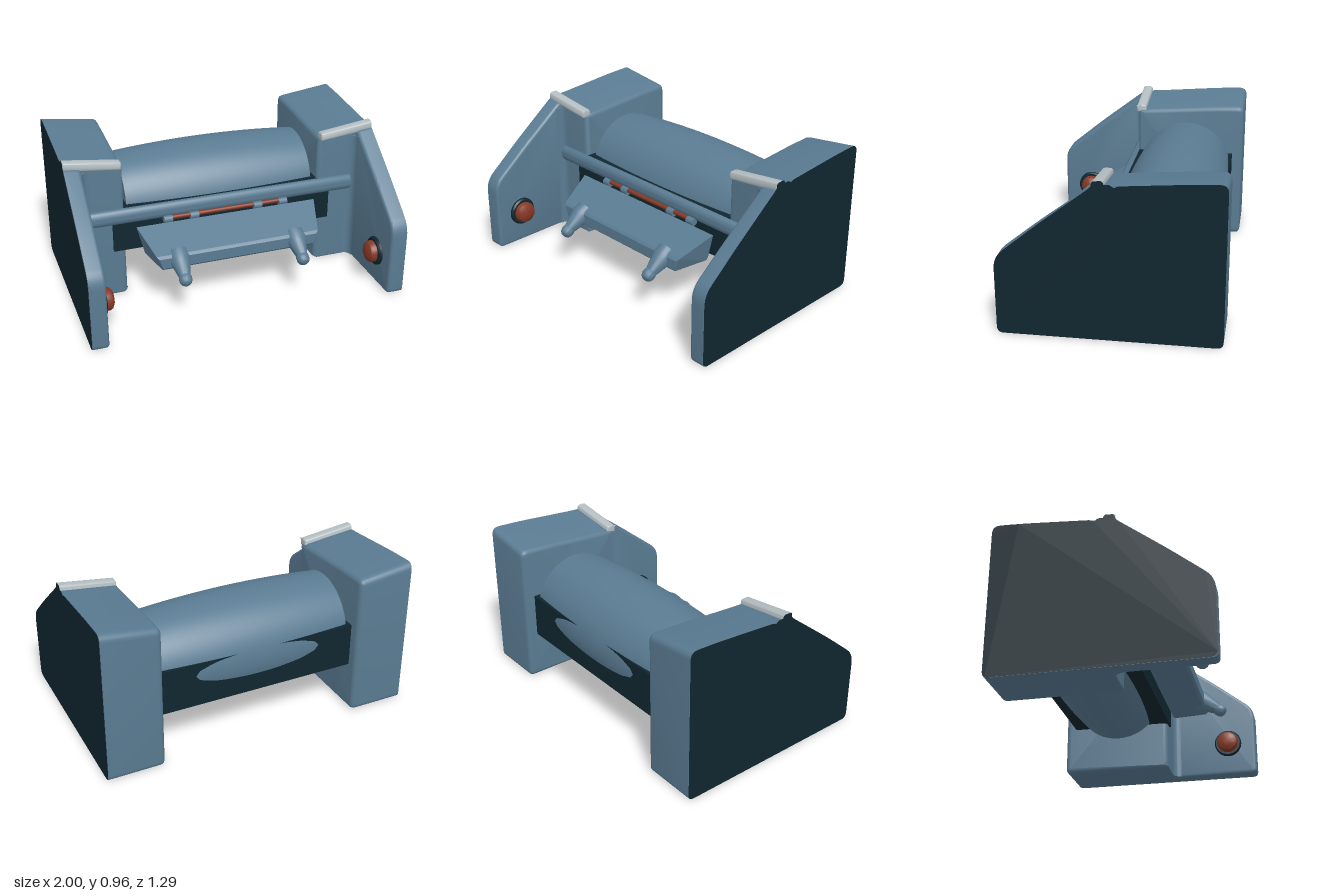
import * as THREE from 'three';
import { toCreasedNormals } from 'three/addons/utils/BufferGeometryUtils.js';
import { ConvexGeometry } from 'three/addons/geometries/ConvexGeometry.js';

const material = (name, color) => {
  const m = new THREE.MeshStandardMaterial({ color });
  m.name = name;
  return m;
};

// Polygon in (z, y) with rounded corners; each point is [z, y, radius]
function roundedShape(points) {
  const s = new THREE.Shape();
  const v = points.map(([z, y]) => new THREE.Vector2(-z, y));
  const n = v.length;
  v.forEach((p, i) => {
    const r = points[i][2] || 0;
    const toward = (q) => p.clone().add(q.clone().sub(p).setLength(r));
    const a = toward(v[(i + n - 1) % n]);
    const b = toward(v[(i + 1) % n]);
    if (i === 0) s.moveTo(a.x, a.y); else s.lineTo(a.x, a.y);
    if (r) s.quadraticCurveTo(p.x, p.y, b.x, b.y);
  });
  s.closePath();
  return s;
}

// The top falls gently towards the middle of the model
function slopeTop(geo) {
  const p = geo.attributes.position;
  for (let i = 0; i < p.count; i++) {
    const y = p.getY(i);
    if (y > 0.5) p.setY(i, y - (1 - p.getX(i)) * 0.126 * (y - 0.5) / 0.44);
  }
  return geo;
}

// Side slab from x0 to the outer face, with a rounded inner edge and square outer edge
function slab(points, x0, bevel, outer = 0.997) {
  const geo = new THREE.ExtrudeGeometry(roundedShape(points), {
    depth: outer - x0 - bevel, bevelEnabled: true, bevelThickness: bevel,
    bevelSize: bevel, bevelOffset: -bevel, bevelSegments: 4, curveSegments: 6,
  });
  geo.rotateY(Math.PI / 2).translate(x0 + bevel, 0, 0);
  const p = geo.attributes.position;
  for (let i = 0; i < p.count; i++) p.setX(i, Math.min(p.getX(i), outer));
  return toCreasedNormals(slopeTop(geo), 0.6);
}

// Reflected copy in x with corrected winding
function mirrored(source) {
  const geo = source.index ? source.toNonIndexed() : source.clone();
  for (const key of ['position', 'normal']) {
    const a = geo.attributes[key];
    const t = new THREE.Vector3(), u = new THREE.Vector3();
    for (let i = 0; i < a.count; i++) a.setX(i, -a.getX(i));
    for (let i = 0; i < a.count; i += 3) {
      t.fromBufferAttribute(a, i + 1);
      u.fromBufferAttribute(a, i + 2);
      a.setXYZ(i + 1, u.x, u.y, u.z);
      a.setXYZ(i + 2, t.x, t.y, t.z);
    }
  }
  return geo;
}

function lathe(profile, segments = 32) {
  const geo = new THREE.LatheGeometry(profile.map(([r, y]) => new THREE.Vector2(r, y)), segments);
  return toCreasedNormals(geo, 0.6);
}

export function createModel() {
  const model = new THREE.Group();
  model.name = 'model';
  const blue = material('steelBlue', 0x5a7b92);
  const dark = material('darkNavy', 0x10262f);
  const red = material('rustRed', 0x863826);
  const pale = material('paleGrey', 0xb4bec2);

  const add = (name, geo, mat) => {
    const mesh = new THREE.Mesh(geo, mat);
    mesh.name = name;
    model.add(mesh);
    return mesh;
  };
  const addPair = (name, geo, mat) => {
    add(name + 'Left', geo, mat);
    add(name + 'Right', mirrored(geo), mat);
  };

  // Side housings: deep rear block and thin front fin
  addPair('sideBlock', slab([
    [-0.645, 0, 0.035], [0.07, 0, 0.01], [0.07, 0.918, 0.015],
    [-0.05, 0.925, 0.02], [-0.45, 0.958, 0.05], [-0.645, 0.967, 0.05],
  ], 0.64, 0.03), blue);
  addPair('frontFin', slab([
    [0, 0], [0.645, 0, 0.035], [0.645, 0.47, 0.07],
    [0.39, 0.68, 0.08], [0.09, 0.91, 0.02], [0, 0.92],
  ], 0.895, 0.02), blue);

  // Concave fillet where fin meets block
  const corner = new THREE.Shape();
  corner.moveTo(0.91, -0.06);
  corner.lineTo(0.91, -0.12);
  corner.lineTo(0.895, -0.12);
  corner.quadraticCurveTo(0.893, -0.072, 0.845, -0.07);
  corner.lineTo(0.845, -0.06);
  const fillet = new THREE.ExtrudeGeometry(corner, { depth: 0.86, bevelEnabled: false });
  fillet.rotateX(-Math.PI / 2).translate(0, 0.005, 0);
  addPair('finFillet', toCreasedNormals(fillet, 0.8), blue);

  // Pale lip along the front top edge of each block
  addPair('topTrim', slab([
    [0.02, 0.9], [0.087, 0.895, 0.015], [0.087, 0.945, 0.012],
    [0.07, 0.952, 0.01], [0.025, 0.95, 0.015],
  ], 0.65, 0.01), pale);

  // Flat outer faces
  const outerFace = new THREE.ShapeGeometry(roundedShape([
    [-0.645, 0, 0.04], [0.645, 0, 0.04], [0.645, 0.47, 0.07],
    [0.39, 0.68, 0.08], [0.1, 0.905, 0.02], [0.087, 0.92], [0.085, 0.948, 0.015],
    [0.025, 0.952, 0.012], [0.018, 0.932], [-0.015, 0.932, 0.01], [-0.035, 0.915, 0.01],
    [-0.06, 0.927, 0.01], [-0.45, 0.958, 0.05], [-0.645, 0.967, 0.05],
  ]), 6);
  outerFace.rotateY(Math.PI / 2).translate(1, 0, 0);
  addPair('outerFace', outerFace, dark);

  // Bulging central drum
  const drumProfile = [[0, -0.615]];
  for (let i = 0; i <= 16; i++) {
    const t = i / 8 - 1;
    drumProfile.push([0.295 + 0.027 * (1 - t * t), t * 0.615]);
  }
  drumProfile.push([0, 0.615]);
  const drum = lathe(drumProfile, 64);
  drum.rotateZ(Math.PI / 2).translate(0, 0.51, -0.265);
  add('drum', drum, blue);

  // Dark beam through the drum
  const beam = new THREE.BoxGeometry(1.44, 0.28, 0.658);
  beam.translate(0, 0.45, -0.246);
  add('beam', beam, dark);

  // Cross bar with softened ends
  const bar = lathe([[0, -0.865], [0.045, -0.865], [0.05, -0.855], [0.05, 0.855], [0.045, 0.865], [0, 0.865]]);
  bar.rotateZ(Math.PI / 2).scale(1, 1, 0.64).translate(0, 0.55, 0.085);
  add('crossBar', bar, blue);

  // Hinge pin and knuckles
  const pin = new THREE.CylinderGeometry(0.014, 0.014, 0.78, 16);
  pin.rotateZ(Math.PI / 2).translate(0, 0.505, 0.115);
  add('hingePin', pin, red);
  for (const x of [-0.38, -0.21, 0.21, 0.38]) {
    const knuckle = new THREE.CylinderGeometry(0.024, 0.024, 0.055, 16);
    knuckle.rotateZ(Math.PI / 2).translate(x, 0.497, 0.115);
    add('hingeKnuckle', knuckle, blue);
  }

  // Tapered tray: sections of [z, bottom y, top y, bottom half width, top half width]
  const corners = [];
  for (const [z, y0, y1, w0, w1] of [
    [0.13, 0.315, 0.475, 0.54, 0.575], [0.142, 0.3, 0.488, 0.54, 0.588],
    [0.36, 0.29, 0.385, 0.49, 0.525], [0.375, 0.305, 0.37, 0.49, 0.51],
  ]) {
    for (const s of [-1, 1]) {
      corners.push(new THREE.Vector3(s * w0, y0, z), new THREE.Vector3(s * w1, y1, z));
    }
  }
  add('tray', new ConvexGeometry(corners), blue);

  // Pegs pointing forward and down
  const peg = lathe([
    [0, -0.03], [0.06, -0.03], [0.064, 0.02], [0.058, 0.05], [0.036, 0.14],
    [0.04, 0.15], [0.04, 0.17], [0.032, 0.19], [0.018, 0.2], [0, 0.203],
  ], 24);
  peg.rotateX(2.15).translate(0.38, 0.355, 0.335);
  addPair('peg', peg, blue);

  // Domed knobs on the inner sides of the fins
  const collar = lathe([[0, 0], [0.092, 0], [0.092, 0.018], [0.084, 0.028], [0, 0.028]]);
  const knob = lathe([[0, 0], [0.07, 0], [0.07, 0.05], [0.062, 0.066], [0.04, 0.078], [0, 0.084]]);
  for (const geo of [collar, knob]) geo.rotateZ(Math.PI / 2).translate(0.9, 0.22, 0.455);
  addPair('knobCollar', collar, dark);
  addPair('knob', knob, red);

  return model;
}
